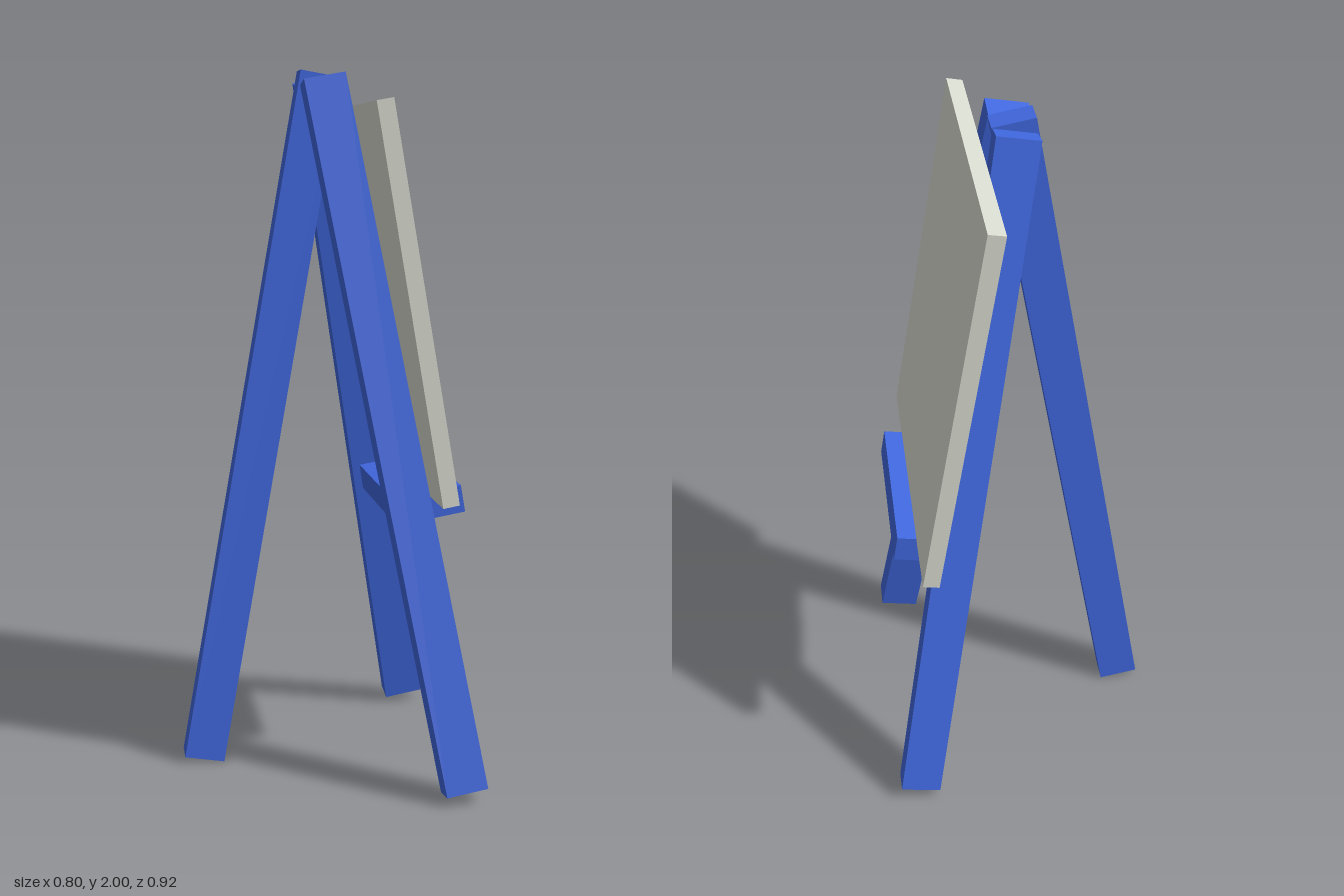
import * as THREE from 'three';

const blue = new THREE.MeshStandardMaterial({ color: 0x4169e1, flatShading: true });
const cream = new THREE.MeshStandardMaterial({ color: 0xdcdfd3, flatShading: true });

// Square-cut beam from point a to point b; u and w are the two full edge vectors of its section
function beam(name, material, a, b, u, w) {
  const start = new THREE.Vector3(...a);
  const end = new THREE.Vector3(...b);
  const matrix = new THREE.Matrix4().makeBasis(
    new THREE.Vector3(...u), end.clone().sub(start), new THREE.Vector3(...w));
  matrix.setPosition(start.add(end).multiplyScalar(0.5));
  const mesh = new THREE.Mesh(new THREE.BoxGeometry(1, 1, 1).applyMatrix4(matrix), material);
  mesh.name = name;
  return mesh;
}

export function createModel() {
  const easel = new THREE.Group();
  easel.name = 'easel';

  // Single prop leg leaning back toward -x
  easel.add(beam('propLeg', blue,
    [-0.345, 0.01, 0], [0.003, 1.99, -0.005], [0.115, -0.02, 0], [0, 0, 0.078]));

  // Pair of splayed legs under the board
  for (const side of [1, -1]) {
    easel.add(beam(side > 0 ? 'leftLeg' : 'rightLeg', blue,
      [0.344, 0.031, 0.422 * side], [0, 1.974, 0.078 * side],
      [0.115, 0.0203, 0], [0, 0.0133 * side, 0.075]));
  }

  // Tilted shelf between the splayed legs
  easel.add(beam('shelf', blue,
    [0.174, 0.788, 0], [0.369, 0.822, 0], [0.0135, -0.076, 0], [0, 0, 0.512]));

  // Board resting against the legs
  easel.add(beam('board', cream,
    [0.287, 0.844, 0], [0.1, 1.903, 0], [0.045, 0.008, 0], [0, 0, 0.908]));

  return easel;
}
